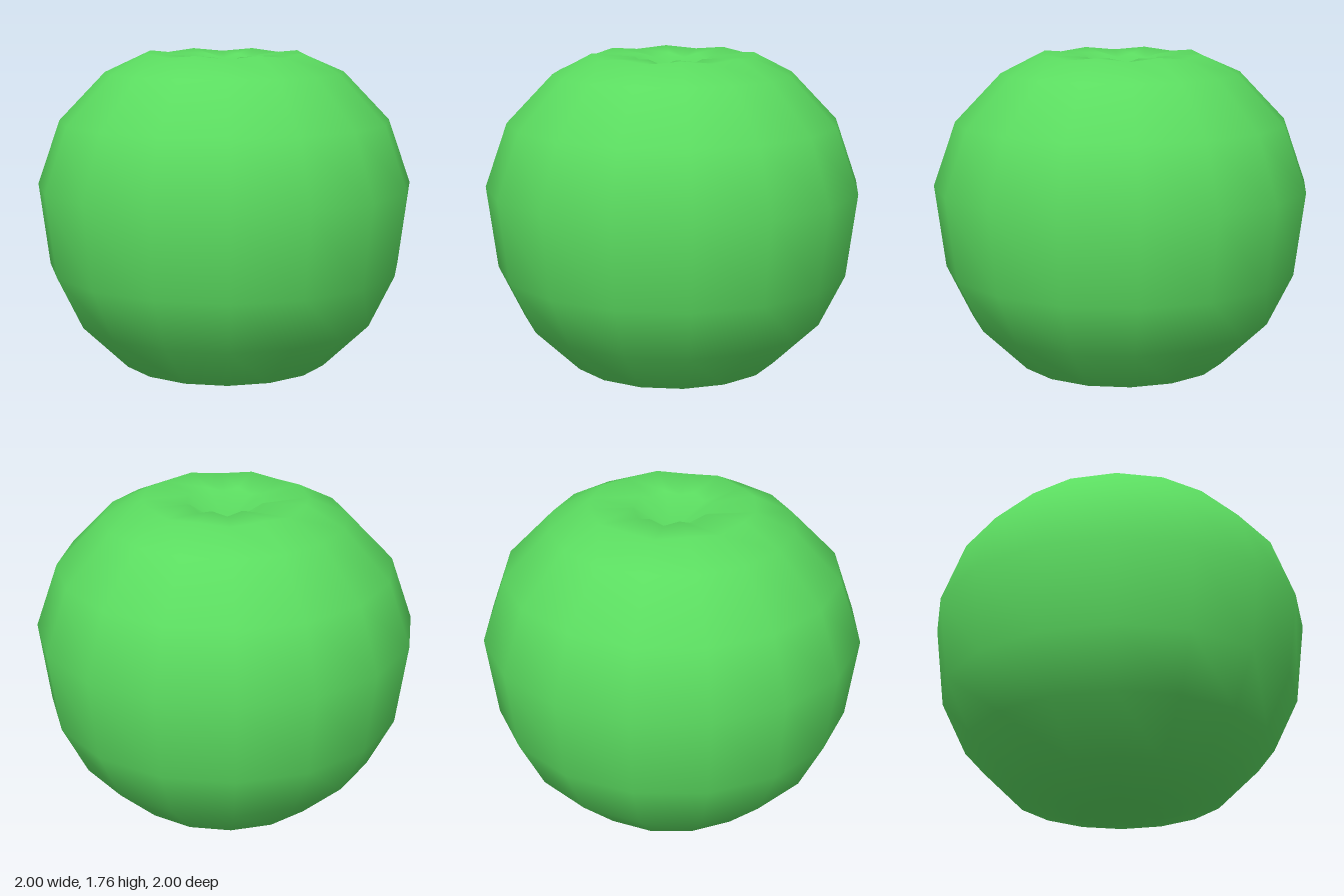
import * as THREE from 'three';
import { mergeVertices } from 'three/addons/utils/BufferGeometryUtils.js';

const SIDES = 16;

// radius, height, ripple (how far every second rib is raised or lowered)
const PROFILE = [
  [0, 0.07, 0],
  [0.24, 0.01, -0.01],
  [0.565, 0.10, 0],
  [0.81, 0.34, 0],
  [0.945, 0.62, 0],
  [1, 1.06, 0],
  [0.88, 1.40, 0],
  [0.635, 1.655, 0],
  [0.43, 1.752, -0.008],
  [0.2, 1.73, -0.012],
  [0, 1.6, 0],
];

export function createModel() {
  const group = new THREE.Group();
  group.name = 'apple';

  // Turned body with a dimple at the top and a shallow hollow underneath
  const lathe = new THREE.LatheGeometry(PROFILE.map(([r, y]) => new THREE.Vector2(r, y)), SIDES);
  const pos = lathe.attributes.position;
  for (let i = 0; i < pos.count; i++) {
    const rib = Math.floor(i / PROFILE.length);
    const ripple = PROFILE[i % PROFILE.length][2];
    pos.setY(i, pos.getY(i) + (rib % 2 ? ripple : -ripple));
  }

  // Weld the seam and poles so the shading is smooth all round
  lathe.deleteAttribute('uv');
  lathe.deleteAttribute('normal');
  const geometry = mergeVertices(lathe, 1e-4);
  geometry.computeVertexNormals();

  const skin = new THREE.MeshStandardMaterial({ color: 0x5bdc60 });
  const body = new THREE.Mesh(geometry, skin);
  body.name = 'appleBody';
  group.add(body);
  return group;
}
